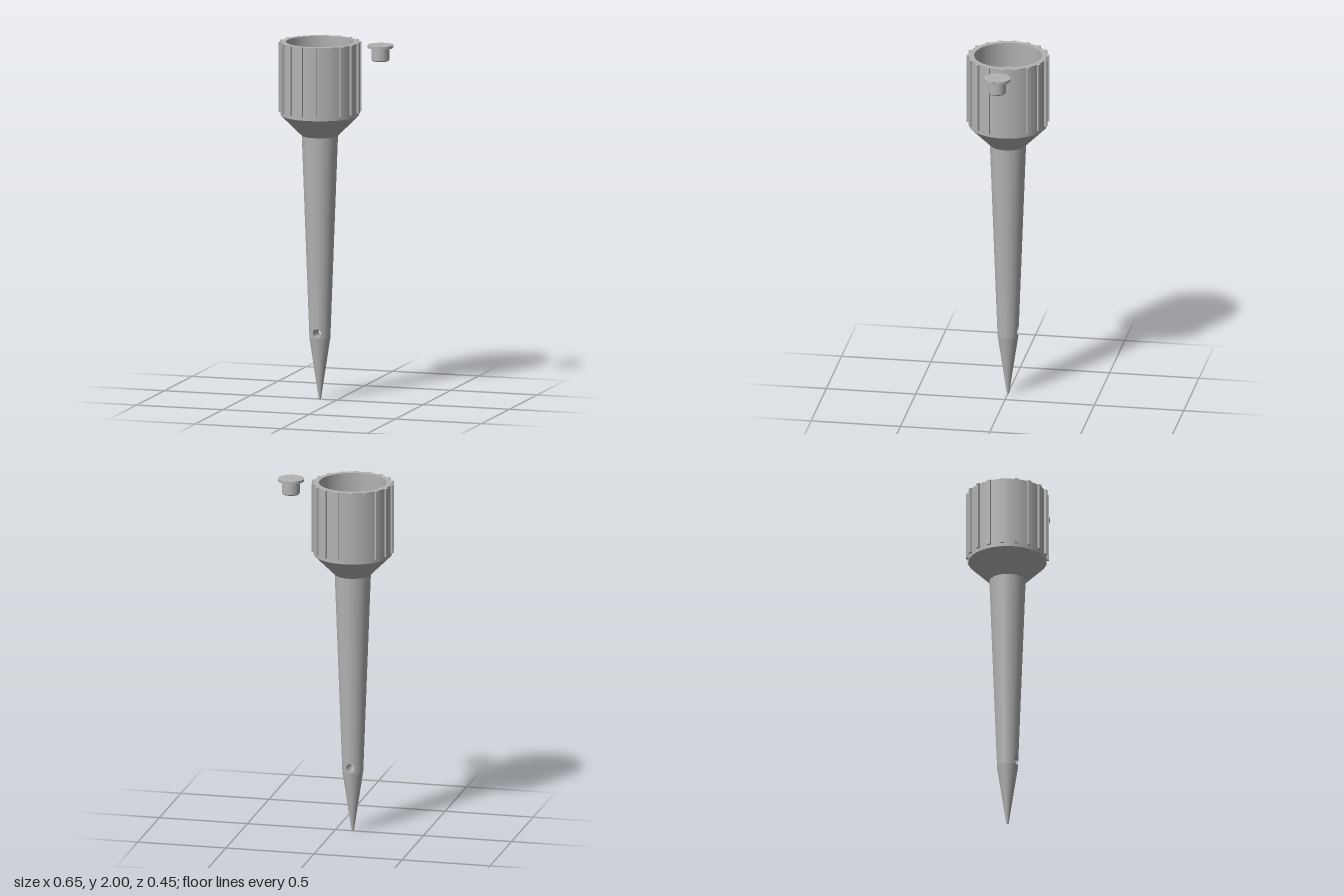
import * as THREE from 'three';
import { mergeGeometries, toCreasedNormals } from 'three/addons/utils/BufferGeometryUtils.js';

const SEG = 64;
const HOLE_Y = 0.375, HOLE_R = 0.024;      // cross hole through the spike
const BAND_LO = 0.345, BAND_HI = 0.405;    // wall band that contains the hole
const stemRadius = (y) => 0.058 + (y - BAND_LO) * (0.042 / 1.13);

// Revolves each profile segment on its own, so every corner stays sharp
function revolve(points) {
  const parts = [];
  for (let i = 0; i < points.length - 1; i++) {
    const pair = [points[i], points[i + 1]].map(([r, y]) => new THREE.Vector2(r, y));
    parts.push(new THREE.LatheGeometry(pair, SEG));
  }
  return mergeGeometries(parts);
}

// Surface patch from a rule; the front side faces du x dv
function patch(rule, nu, nv) {
  const pos = [], index = [];
  for (let j = 0; j <= nv; j++) {
    for (let i = 0; i <= nu; i++) pos.push(...rule(i / nu, j / nv));
  }
  for (let j = 0; j < nv; j++) {
    for (let i = 0; i < nu; i++) {
      const a = j * (nu + 1) + i, b = a + 1, c = a + nu + 1, d = c + 1;
      index.push(a, b, d, a, d, c);
    }
  }
  const g = new THREE.BufferGeometry();
  g.setAttribute('position', new THREE.Float32BufferAttribute(pos, 3));
  g.setIndex(index);
  g.computeVertexNormals();
  return g;
}

// Front half of the spike wall, stretched from a rectangle to the round hole
function pierced(u, v) {
  const a = u * Math.PI * 2, c = Math.cos(a), s = Math.sin(a);
  const m = Math.max(Math.abs(c), Math.abs(s));
  const holeY = HOLE_Y + HOLE_R * s;
  const holeT = Math.asin(HOLE_R * c / stemRadius(holeY));
  const t = THREE.MathUtils.lerp((c / m) * Math.PI / 2, holeT, v);
  const y = THREE.MathUtils.lerp(HOLE_Y + (s / m) * (BAND_HI - BAND_LO) / 2, holeY, v);
  return [stemRadius(y) * Math.sin(t), y, stemRadius(y) * Math.cos(t)];
}

// Front half of the cross hole, opening upward into the bore
function tunnel(u, v) {
  const a = u * Math.PI * 2;
  const x = HOLE_R * Math.cos(a), h = HOLE_R * Math.sin(a), y = HOLE_Y + h;
  const outer = Math.sqrt(stemRadius(y) ** 2 - x * x);
  return [x, y, THREE.MathUtils.lerp(outer, Math.max(0, h), v)];
}

// Lower end of the bore, meeting the cross hole
function boreEnd(u, v) {
  const a = u * Math.PI * 2;
  const x = HOLE_R * Math.sin(a), z = HOLE_R * Math.cos(a);
  return [x, THREE.MathUtils.lerp(0.42, HOLE_Y + Math.abs(z), v), z];
}

export function createModel() {
  const plastic = new THREE.MeshStandardMaterial({ color: 0xb3b3b3 });
  plastic.name = 'grey plastic';
  const model = new THREE.Group();
  model.name = 'wateringSpike';

  const add = (parent, name, geometry) => {
    const mesh = new THREE.Mesh(geometry, plastic);
    mesh.name = name;
    parent.add(mesh);
    return mesh;
  };

  // Spike with cup
  const spike = new THREE.Group();
  spike.name = 'spike';
  spike.position.x = -0.0985;
  model.add(spike);

  add(spike, 'tip', revolve([[0, 0], [0.006, 0], [0.058, BAND_LO]]));
  add(spike, 'stem', revolve([[stemRadius(BAND_HI), BAND_HI], [0.1, 1.475]]));
  add(spike, 'cup', revolve([[0.1, 1.475], [0.216, 1.59], [0.216, 2], [0.187, 2], [0.187, 1.86]]));
  add(spike, 'funnel', revolve([[0.187, 1.86], [0.055, 1.475]]));
  add(spike, 'bore', revolve([[0.055, 1.475], [HOLE_R, 0.42]]));
  add(spike, 'boreEnd', patch(boreEnd, SEG, 1));

  // Pierced wall and cross hole, front and back
  for (const turn of [0, Math.PI]) {
    add(spike, 'piercedWall', patch(pierced, 128, 8)).rotation.y = turn;
    add(spike, 'crossHole', patch(tunnel, SEG, 2)).rotation.y = turn;
  }

  // Grip ribs around the cup
  const ribs = new THREE.Group();
  ribs.name = 'gripRibs';
  spike.add(ribs);
  const ribShape = new THREE.BoxGeometry(0.0145, 0.39, 0.02).translate(0.22125, 1.805, 0);
  for (let i = 0; i < 18; i++) add(ribs, 'rib', ribShape).rotation.y = (i / 18) * Math.PI * 2;

  // Separate drip cap
  const cap = new THREE.Group();
  cap.name = 'dripCap';
  cap.position.x = 0.2525;
  model.add(cap);

  // Flange with a round notch in its edge and a pinhole
  const R = 0.0725, notch = 0.01, pin = 0.0065;
  const half = 2 * Math.asin(notch / (2 * R));
  const turn = Math.PI / 2 + half / 2;
  const disc = new THREE.Shape();
  disc.absarc(0, 0, R, half, Math.PI * 2 - half, false);
  disc.absarc(R, 0, notch, -turn, turn, true);
  const pinhole = new THREE.Path();
  pinhole.absarc(0, 0, pin, 0, Math.PI * 2, true);
  disc.holes.push(pinhole);
  const flange = new THREE.ExtrudeGeometry(disc, { depth: 0.015, bevelEnabled: false, curveSegments: 48 });
  flange.rotateX(-Math.PI / 2).translate(0, 1.985, 0);
  add(cap, 'flange', toCreasedNormals(flange, 0.5));

  // Plug with a chamfered lower rim
  add(cap, 'plug', revolve([
    [pin, 1.911], [0.045, 1.911], [0.049, 1.917], [0.049, 1.985], [pin, 1.985], [pin, 1.911],
  ]));

  return model;
}
